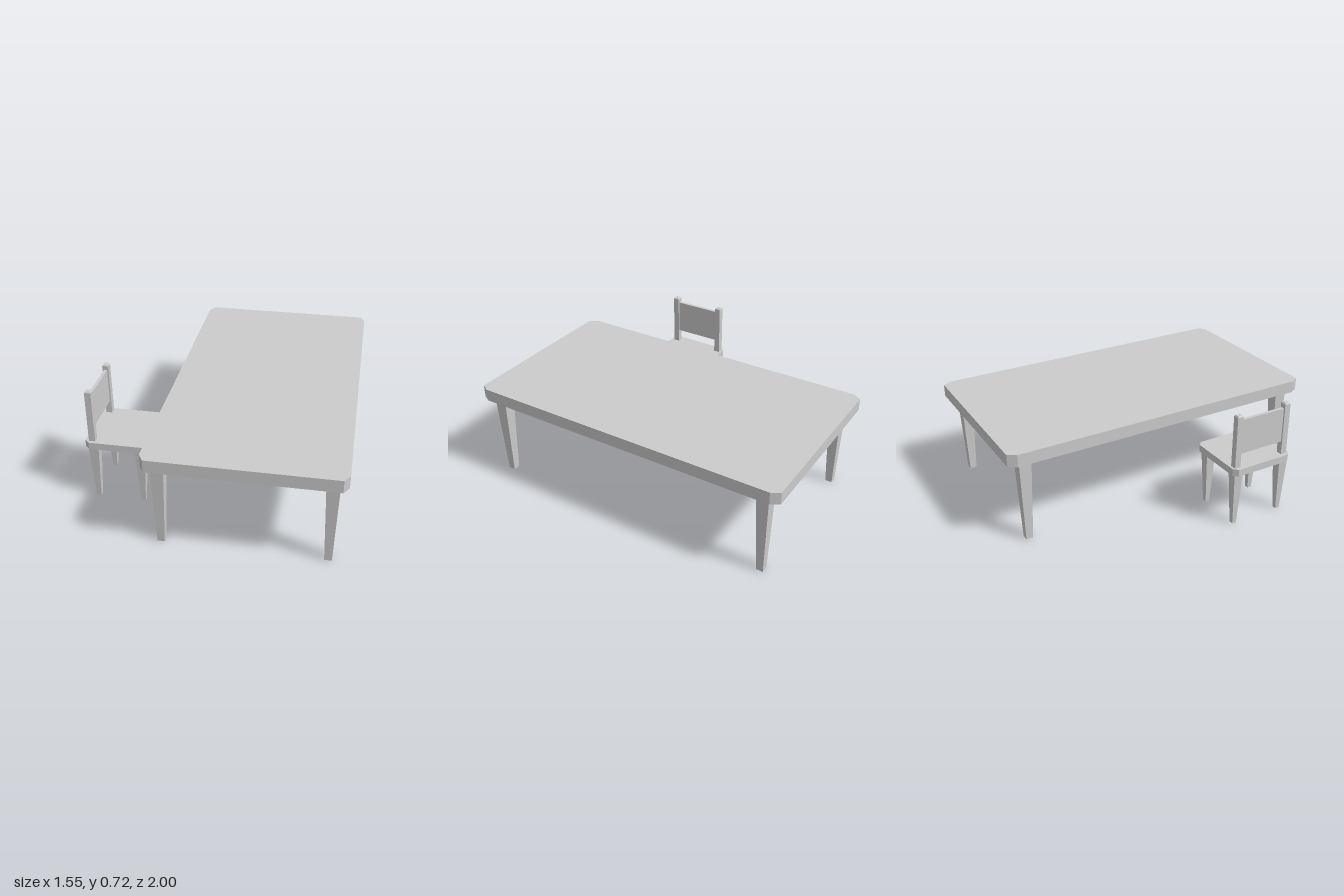
import * as THREE from 'three';

const material = new THREE.MeshStandardMaterial({ color: 0xcccccc, flatShading: true });

function add(group, name, geometry, x, y, z) {
  const mesh = new THREE.Mesh(geometry, material);
  mesh.name = name;
  mesh.position.set(x, y, z);
  group.add(mesh);
}

// Flat slab with clipped corners, its underside at y = 0
function slab(w, h, d, cx, cz) {
  const a = w / 2, b = d / 2;
  const shape = new THREE.Shape([
    [a - cx, -b], [a, -b + cz], [a, b - cz], [a - cx, b],
    [-a + cx, b], [-a, b - cz], [-a, -b + cz], [-a + cx, -b],
  ].map(([x, y]) => new THREE.Vector2(x, y)));
  return new THREE.ExtrudeGeometry(shape, { depth: h, bevelEnabled: false }).rotateX(-Math.PI / 2);
}

// Square bar that tapers from its top width to its bottom width, standing on y = 0
function taperedBar(top, bottom, h) {
  return new THREE.CylinderGeometry(top / Math.SQRT2, bottom / Math.SQRT2, h, 4)
    .rotateY(Math.PI / 4).translate(0, h / 2, 0);
}

function createTable() {
  const table = new THREE.Group();
  table.name = 'table';
  add(table, 'tableTop', slab(1.105, 0.075, 2, 0.03, 0.05), 0.222, 0.525, 0);
  for (const x of [-0.247, 0.692])
    for (const z of [-0.89, 0.893])
      add(table, 'tableLeg', taperedBar(0.076, 0.042, 0.527), x, 0, z);
  return table;
}

function createChair() {
  const chair = new THREE.Group();
  chair.name = 'chair';
  add(chair, 'seat', slab(0.388, 0.044, 0.406, 0.027, 0.027), -0.584, 0.347, 0.381);
  for (const x of [-0.724, -0.445])
    for (const z of [0.224, 0.549])
      add(chair, 'chairLeg', taperedBar(0.06, 0.027, 0.35), x, 0, z);

  // Back posts with softly bevelled tops, and the panel between them
  for (const z of [0.212, 0.545]) {
    add(chair, 'backPost', taperedBar(0.038, 0.038, 0.325), -0.735, 0.388, z);
    add(chair, 'backPostCap', taperedBar(0.028, 0.038, 0.007), -0.735, 0.713, z);
  }
  add(chair, 'backPanel', new THREE.BoxGeometry(0.02, 0.215, 0.31), -0.735, 0.58, 0.379);
  return chair;
}

export function createModel() {
  const model = new THREE.Group();
  model.name = 'tableAndChair';
  model.add(createTable(), createChair());
  return model;
}
